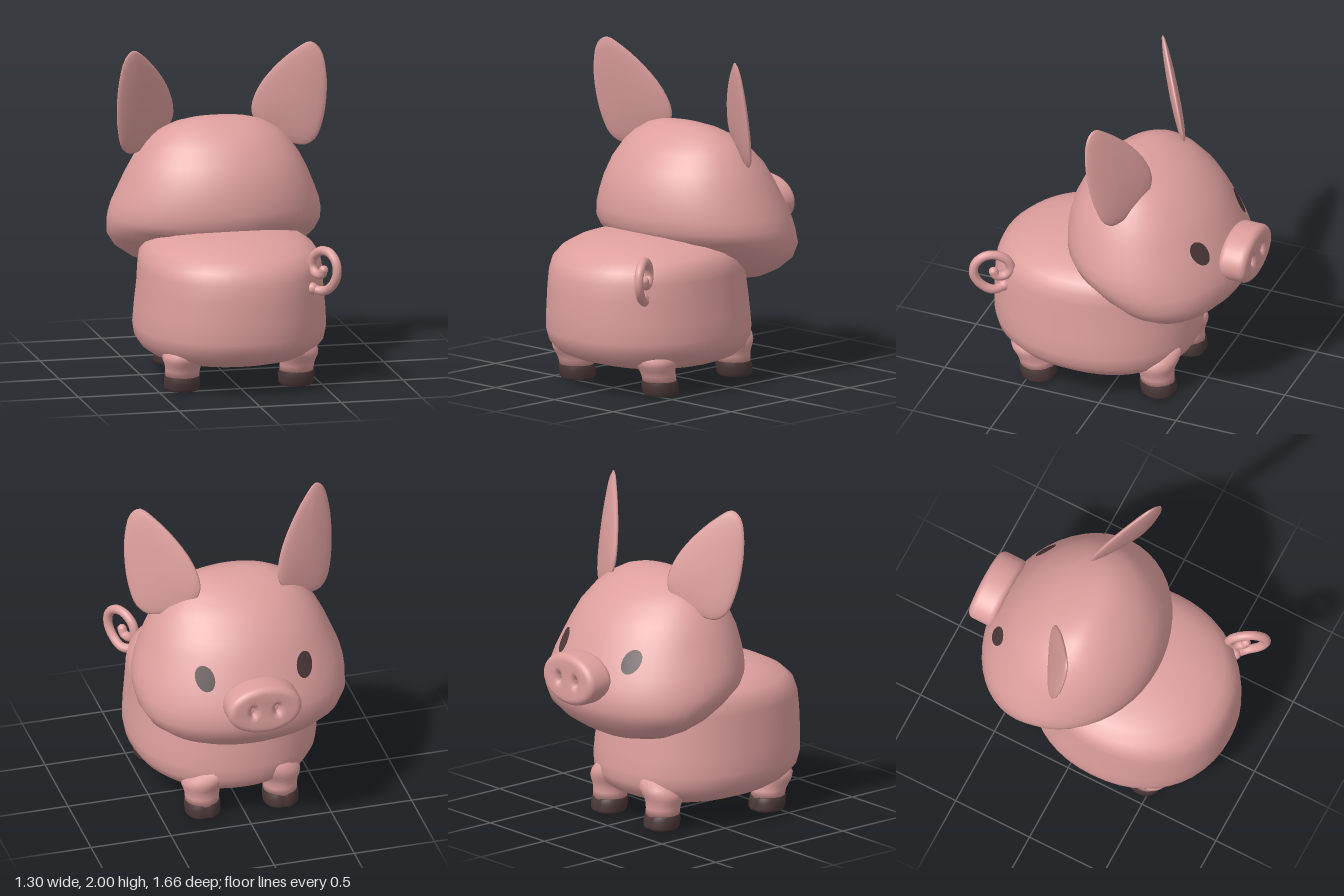
import * as THREE from 'three';
import { mergeVertices, toCreasedNormals } from 'three/addons/utils/BufferGeometryUtils.js';

// Smooth closed skin over equal-length rings of Vector3, capped at both ends
function loft(rings) {
  const n = rings[0].length, index = [];
  const pts = rings.flat();
  const centre = (r) => r.reduce((s, p) => s.add(p), new THREE.Vector3()).divideScalar(n);
  const first = pts.length, last = first + 1, top = (rings.length - 1) * n;
  pts.push(centre(rings[0]), centre(rings[rings.length - 1]));
  for (let j = 0; j < n; j++) {
    const k = (j + 1) % n;
    index.push(first, j, k, last, top + k, top + j);
    for (let i = 0; i < rings.length - 1; i++) {
      const a = i * n + j, b = i * n + k;
      index.push(a, a + n, b, b, a + n, b + n);
    }
  }
  const geo = new THREE.BufferGeometry().setFromPoints(pts);
  geo.setIndex(index);
  geo.computeVertexNormals();
  return geo;
}

// Horizontal superellipse ring from [y, half width, back z, front z]
function ovalRing([y, w, zb, zf], power = 2, n = 48) {
  const bend = (v) => Math.sign(v) * Math.abs(v) ** (2 / power);
  return Array.from({ length: n }, (_, i) => {
    const t = (i / n) * Math.PI * 2;
    return new THREE.Vector3(w * bend(Math.cos(t)), y, (zb + zf) / 2 + ((zb - zf) / 2) * bend(Math.sin(t)));
  });
}

const HEAD = [
  [0.562, 0.1, -0.31, -0.45], [0.575, 0.22, -0.23, -0.5], [0.61, 0.37, -0.15, -0.57],
  [0.66, 0.48, -0.06, -0.645], [0.73, 0.58, 0.05, -0.71], [0.81, 0.634, 0.18, -0.742],
  [0.89, 0.648, 0.305, -0.735], [0.95, 0.645, 0.343, -0.716], [1.02, 0.629, 0.348, -0.688],
  [1.1, 0.597, 0.342, -0.65], [1.2, 0.555, 0.32, -0.6], [1.3, 0.505, 0.275, -0.537],
  [1.4, 0.432, 0.2, -0.437], [1.46, 0.365, 0.135, -0.355], [1.51, 0.275, 0.06, -0.255],
  [1.535, 0.19, 0.005, -0.18], [1.545, 0.09, -0.04, -0.12],
];
const BODY = [
  [0.118, 0.15, 0.28, -0.06], [0.125, 0.28, 0.42, -0.17], [0.145, 0.39, 0.55, -0.28],
  [0.175, 0.47, 0.66, -0.35], [0.215, 0.525, 0.755, -0.4], [0.27, 0.562, 0.81, -0.424],
  [0.34, 0.574, 0.83, -0.428], [0.45, 0.567, 0.832, -0.418], [0.6, 0.552, 0.83, -0.4],
  [0.7, 0.547, 0.818, -0.39], [0.77, 0.537, 0.79, -0.38], [0.825, 0.5, 0.73, -0.34],
  [0.87, 0.43, 0.64, -0.3], [0.9, 0.34, 0.54, -0.2], [0.92, 0.23, 0.44, -0.1], [0.928, 0.1, 0.35, 0.1],
];

// Front surface of the head at (x, y)
function headFront(x, y) {
  const i = HEAD.findIndex((r) => r[0] > y);
  const a = HEAD[i - 1], b = HEAD[i], t = (y - a[0]) / (b[0] - a[0]);
  const [, w, zb, zf] = a.map((v, k) => v + (b[k] - v) * t);
  return (zb + zf) / 2 - ((zb - zf) / 2) * Math.sqrt(1 - (x / w) ** 2);
}

// Domed leaf on a slanted plane
function earGeometry() {
  const outline = [[0.545, 2], [0.47, 1.95], [0.36, 1.83], [0.275, 1.69], [0.24, 1.55], [0.27, 1.46],
    [0.36, 1.39], [0.46, 1.345], [0.54, 1.337], [0.595, 1.38], [0.63, 1.49], [0.646, 1.65], [0.638, 1.82], [0.6, 1.96]];
  const curve = new THREE.CatmullRomCurve3(outline.map(([x, y]) => new THREE.Vector3(x, y, 0)), true);
  const edge = curve.getPoints(42).slice(0, 42);
  const rings = [];
  for (let i = 0; i <= 10; i++) {
    const a = Math.PI * (0.04 + 0.92 * (i / 10));
    const s = Math.sin(a), w = 0.034 * Math.cos(a);
    rings.push(edge.map((p) => {
      const x = 0.48 + (p.x - 0.48) * s, y = 1.62 + (p.y - 1.62) * s;
      return new THREE.Vector3(x, y, -0.235 + 0.55 * (x - 0.24) + 0.18 * (y - 1.55) + w);
    }));
  }
  return loft(rings);
}

// Rounded oval disc with two sunken nostrils
function snoutGeometry() {
  const shape = new THREE.Shape().absellipse(0, 0, 0.19, 0.117, 0, Math.PI * 2);
  for (const s of [-1, 1]) {
    shape.holes.push(new THREE.Path().absellipse(s * 0.075, 0, 0.052, 0.066, 0, Math.PI * 2));
  }
  let geo = new THREE.ExtrudeGeometry(shape, {
    depth: 0.1, bevelThickness: 0.04, bevelSize: 0.04, bevelSegments: 5, curveSegments: 24,
  });
  geo.deleteAttribute('uv');
  geo.deleteAttribute('normal');
  geo = toCreasedNormals(mergeVertices(geo, 1e-4), 0.7);
  return geo.rotateY(Math.PI);
}

export function createModel() {
  const pig = new THREE.Group();
  pig.name = 'pig';
  const pink = new THREE.MeshStandardMaterial({ color: 0xdd9f9d });
  pink.name = 'pink skin';
  const dark = new THREE.MeshStandardMaterial({ color: 0x4c3838 });
  dark.name = 'dark brown';
  const add = (name, geo, mat) => {
    const mesh = new THREE.Mesh(geo, mat);
    mesh.name = name;
    pig.add(mesh);
    return mesh;
  };

  add('head', loft(HEAD.map((r) => ovalRing(r))), pink);
  add('body', loft(BODY.map((r) => ovalRing(r, 2.15))), pink);

  // Snout with nostril floors
  add('snout', snoutGeometry(), pink).position.set(0, 0.975, -0.69);
  for (const s of [-1, 1]) {
    const floor = add('nostril', new THREE.SphereGeometry(1, 20, 12), pink);
    floor.scale.set(0.05, 0.06, 0.02);
    floor.position.set(s * 0.075, 0.975, -0.767);
  }

  // Ears
  const ear = earGeometry();
  add('leftEar', ear, pink);
  add('rightEar', ear, pink).scale.x = -1;

  // Eyes laid on the head surface
  for (const s of [-1, 1]) {
    const eye = new THREE.RingGeometry(0.001, 1, 28, 4).rotateY(Math.PI);
    const p = eye.attributes.position;
    for (let i = 0; i < p.count; i++) {
      const x = s * 0.31 + p.getX(i) * 0.055, y = 1.11 + p.getY(i) * 0.07;
      p.setXYZ(i, x, y, headFront(x, y) - 0.007);
    }
    eye.computeVertexNormals();
    add(s > 0 ? 'leftEye' : 'rightEye', eye, dark);
  }

  // Legs and cloven hooves: leg rings are [y, radius, shift in x, shift in z]
  const legRings = [[0.085, 0.102, 0, 0], [0.13, 0.104, 0, 0.2], [0.165, 0.111, 0, 0.45], [0.195, 0.123, 0, 0.6],
    [0.225, 0.135, -0.01, 0.6], [0.26, 0.138, -0.03, 0.4], [0.32, 0.12, -0.07, 0]];
  const hoofRings = [[0, 0.082], [0.004, 0.096], [0.02, 0.107], [0.06, 0.109], [0.09, 0.106], [0.095, 0.1]];
  for (const [place, x, z, lean] of [['Back', 0.352, 0.46, 0.05], ['Front', 0.243, -0.275, 0.02]]) {
    for (const s of [-1, 1]) {
      const side = s > 0 ? 'left' : 'right';
      const leg = loft(legRings.map(([y, r, dx, k]) => ovalRing([y, r, r + k * lean, -r + k * lean], 2, 28)
        .map((p) => p.setX(p.x + s * dx))));
      const hoof = loft(hoofRings.map(([y, r]) => ovalRing([y, r, r, -r], 2.1, 40).map((p) => {
        if (p.z < 0) p.z *= 1 - 0.09 * Math.exp(-((p.x / 0.02) ** 2));
        p.z += (y - 0.08) * 0.15;
        return p;
      })));
      add(side + place + 'Leg', leg, pink).position.set(s * x, 0, z);
      add(side + place + 'Hoof', hoof, dark).position.set(s * x, 0, z);
    }
  }

  // Curled tail on a slanted plane, points are [z, y]
  const curl = [[0.7, 0.622], [0.765, 0.665], [0.803, 0.74], [0.795, 0.815], [0.745, 0.864], [0.68, 0.864],
    [0.625, 0.82], [0.61, 0.76], [0.64, 0.718], [0.685, 0.72], [0.7, 0.75]]
    .map(([z, y]) => new THREE.Vector3(0.41 + 0.56 * (z - 0.605), y, z));
  const path = new THREE.CatmullRomCurve3([new THREE.Vector3(0.39, 0.63, 0.64), ...curl]);
  add('tail', new THREE.TubeGeometry(path, 72, 0.028, 12), pink);
  add('tailTip', new THREE.SphereGeometry(0.028, 12, 10), pink).position.copy(curl[curl.length - 1]);
  add('tailBase', new THREE.SphereGeometry(0.036, 14, 10), pink).position.set(0.405, 0.63, 0.655);

  return pig;
}
